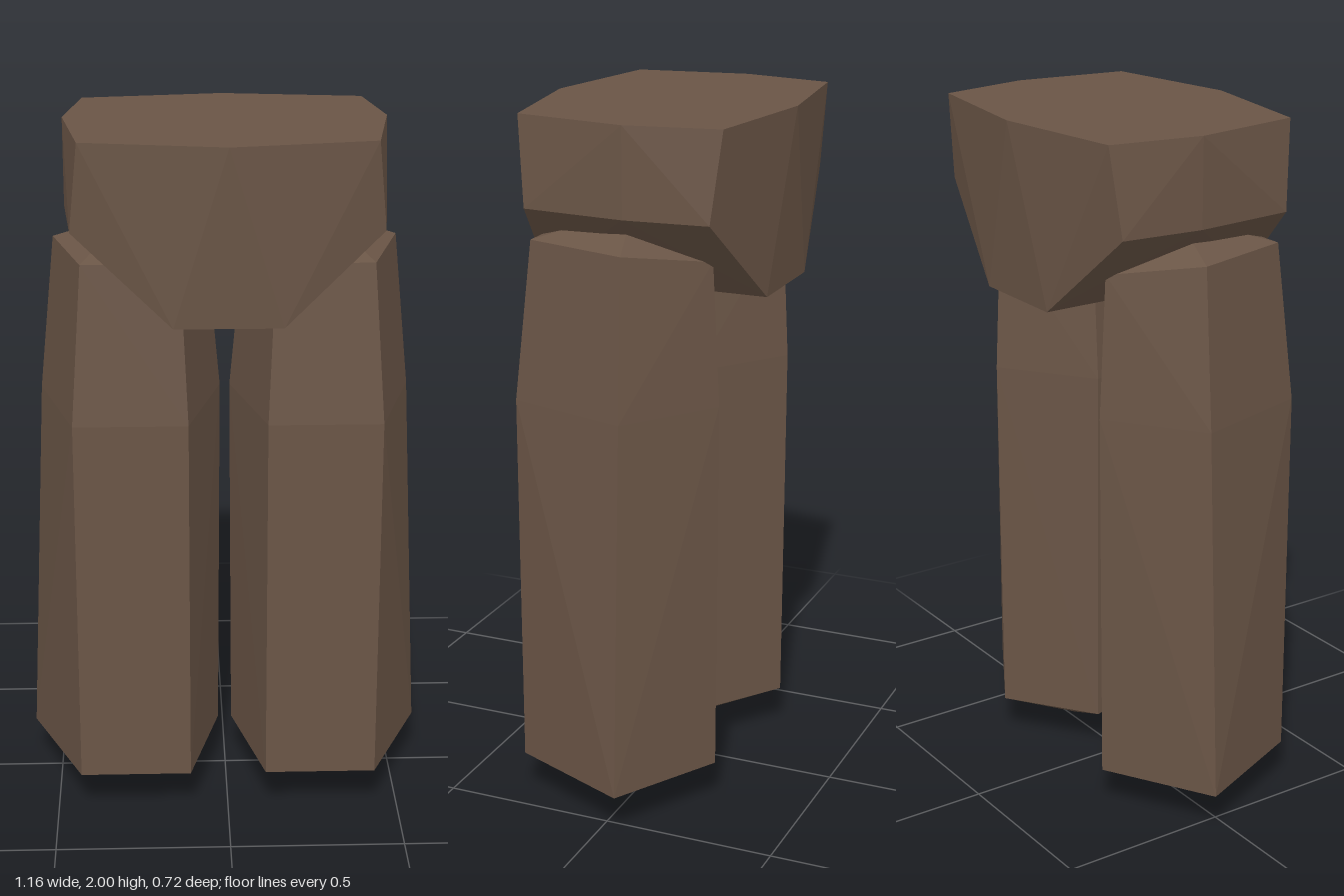
import * as THREE from 'three';
import { ConvexGeometry } from 'three/addons/geometries/ConvexGeometry.js';

const brown = new THREE.MeshStandardMaterial({ name: 'brown', color: 0x6a5546 });

// Faceted solid spanned by a few corner points
function facetedPart(name, points) {
  const geometry = new ConvexGeometry(points.map((p) => new THREE.Vector3(...p)));
  const mesh = new THREE.Mesh(geometry, brown);
  mesh.name = name;
  return mesh;
}

// Five-sided leg: flat front, ridge at the back, pointed at both ends
function makeLeg(side) {
  // Each ring: height, back height, inner/outer front x, inner/outer side x, front z, side z, back z
  const rings = [
    [0.125, 0.125, 0.11, 0.43, 0.02, 0.58, 0.295, -0.06, -0.24],
    [1.21, 1.21, 0.11, 0.43, 0.014, 0.53, 0.295, -0.06, -0.245],
    [1.66, 1.615, 0.13, 0.4, 0.055, 0.485, 0.255, -0.05, -0.225],
  ];
  const points = [[0.27, 0, 0.02], [0.27, 1.74, 0.01]];
  for (const [y, backY, frontIn, frontOut, sideIn, sideOut, zFront, zSide, zBack] of rings) {
    points.push(
      [frontIn, y, zFront], [frontOut, y, zFront],
      [sideIn, y, zSide], [sideOut, y, zSide],
      [0.27, backY, zBack],
    );
  }
  return facetedPart(side > 0 ? 'leftLeg' : 'rightLeg', points.map(([x, y, z]) => [x * side, y, z]));
}

// Hip block: eight-sided flat top, tapering to a narrow strip between the legs
function makeHips() {
  const points = [[0, 2, 0.355], [0, 2, -0.36]];
  for (const s of [-1, 1]) {
    points.push(
      [s * 0.4, 2, 0.285], [s * 0.45, 2, -0.04], [s * 0.403, 2, -0.305],
      [s * 0.425, 1.75, 0.26], [s * 0.45, 1.75, -0.04], [s * 0.428, 1.75, -0.278],
      [s * 0.15, 1.5, 0.33], [s * 0.15, 1.5, -0.335],
    );
  }
  return facetedPart('hips', points);
}

export function createModel() {
  const group = new THREE.Group();
  group.name = 'lowerBody';
  group.add(makeHips(), makeLeg(1), makeLeg(-1));
  return group;
}
